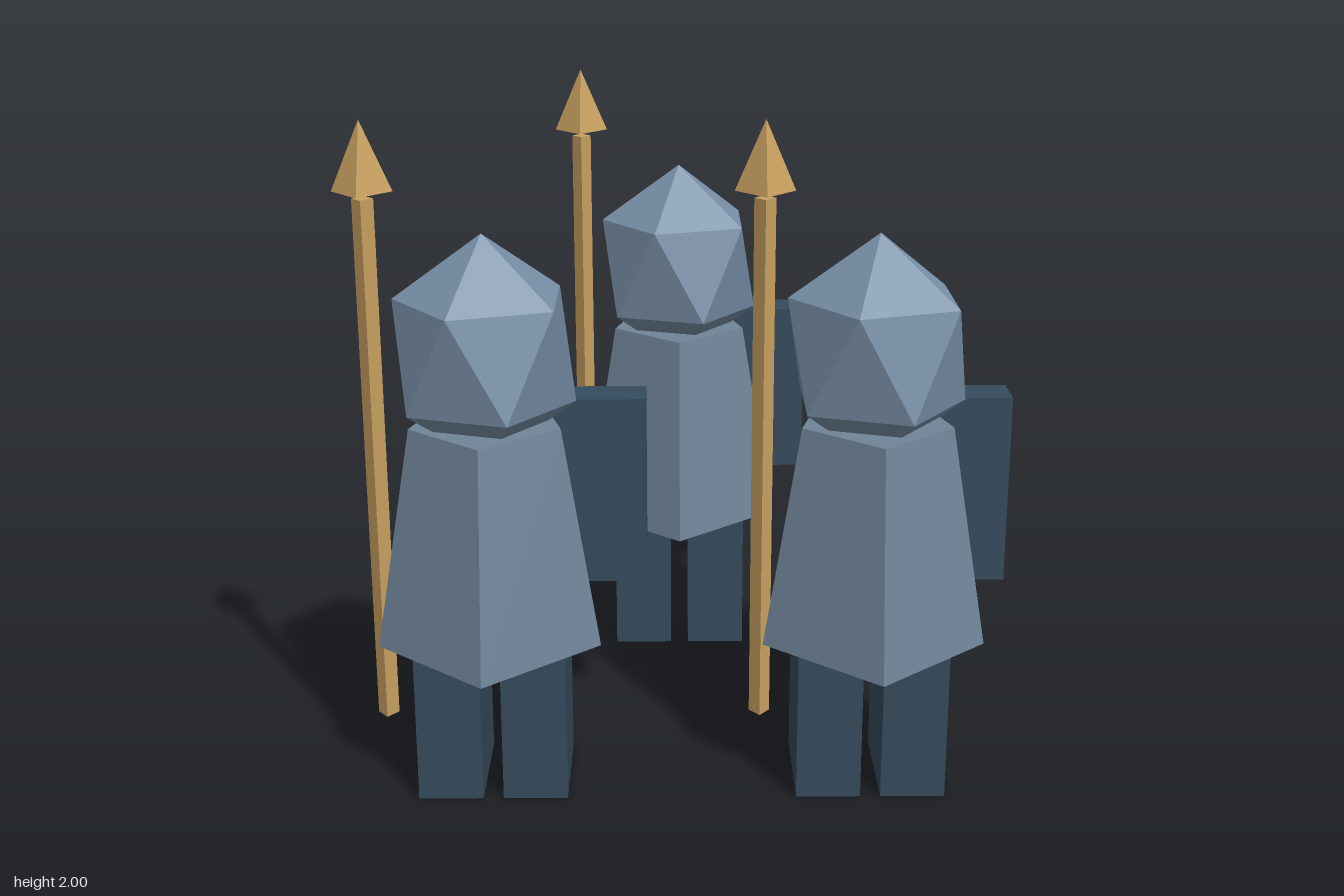
import * as THREE from 'three';

const flat = (name, color, extra = {}) => {
  const m = new THREE.MeshStandardMaterial({ color, flatShading: true, ...extra });
  m.name = name;
  return m;
};

export function createModel() {
  const steel = flat('steel blue', 0x7890a8);
  const cloth = flat('slate grey', 0x708599);
  const dark = flat('dark slate', 0x354b5c);
  const gold = flat('gold', 0xc8a060);
  const teal = flat('teal', 0x4fc3a5, { side: THREE.DoubleSide });

  // Robe: tapered pentagon, deeper than wide
  const robeGeo = new THREE.CylinderGeometry(0.229, 0.342, 0.655, 5).scale(1, 1, 1.2);
  // Head: icosahedron standing on a vertex
  const headGeo = new THREE.IcosahedronGeometry(1, 0)
    .rotateZ(Math.atan(2 / (1 + Math.sqrt(5))))
    .scale(0.29, 0.34, 0.296);
  const legGeo = new THREE.BoxGeometry(0.192, 0.48, 0.346);
  const visorGeo = new THREE.BoxGeometry(0.327, 0.08, 0.048);
  const shieldGeo = new THREE.BoxGeometry(0.407, 0.6, 0.139);
  // Spear: diamond section shaft and four-sided point
  const shaftGeo = new THREE.CylinderGeometry(0.031, 0.031, 1.58, 4).scale(1, 1, 1.2);
  const tipGeo = new THREE.ConeGeometry(0.086, 0.2, 4).scale(1, 1, 1.2);
  // Emblem: three sides of a diamond ring
  const emblemGeo = new THREE.TorusGeometry(0.132, 0.0195, 4, 3, Math.PI * 1.5)
    .rotateZ(Math.PI / 2)
    .scale(0.74, 1, 1);

  const makeGuard = () => {
    const guard = new THREE.Group();
    const add = (name, geo, mat, x, y, z) => {
      const mesh = new THREE.Mesh(geo, mat);
      mesh.name = name;
      mesh.position.set(x, y, z);
      guard.add(mesh);
    };
    add('leftLeg', legGeo, dark, 0.126, 0.24, 0.002);
    add('rightLeg', legGeo, dark, -0.126, 0.24, 0.002);
    add('robe', robeGeo, cloth, 0, 0.8025, 0);
    add('head', headGeo, steel, 0, 1.34, 0);
    add('visor', visorGeo, dark, 0, 1.324, -0.284);
    add('shield', shieldGeo, dark, 0.253, 0.8, -0.366);
    add('emblem', emblemGeo, teal, 0.253, 0.8, -0.456);
    add('spearShaft', shaftGeo, gold, -0.327, 0.99, 0);
    add('spearTip', tipGeo, gold, -0.327, 1.9, 0);
    return guard;
  };

  // Three guards: two in front, one behind
  const model = new THREE.Group();
  model.name = 'guardSquad';
  const places = [['rightGuard', -0.585, 0.586], ['leftGuard', 0.54, 0.586], ['rearGuard', -0.0225, -0.52]];
  for (const [name, x, z] of places) {
    const guard = makeGuard();
    guard.name = name;
    guard.position.set(x, 0, z);
    model.add(guard);
  }
  return model;
}
